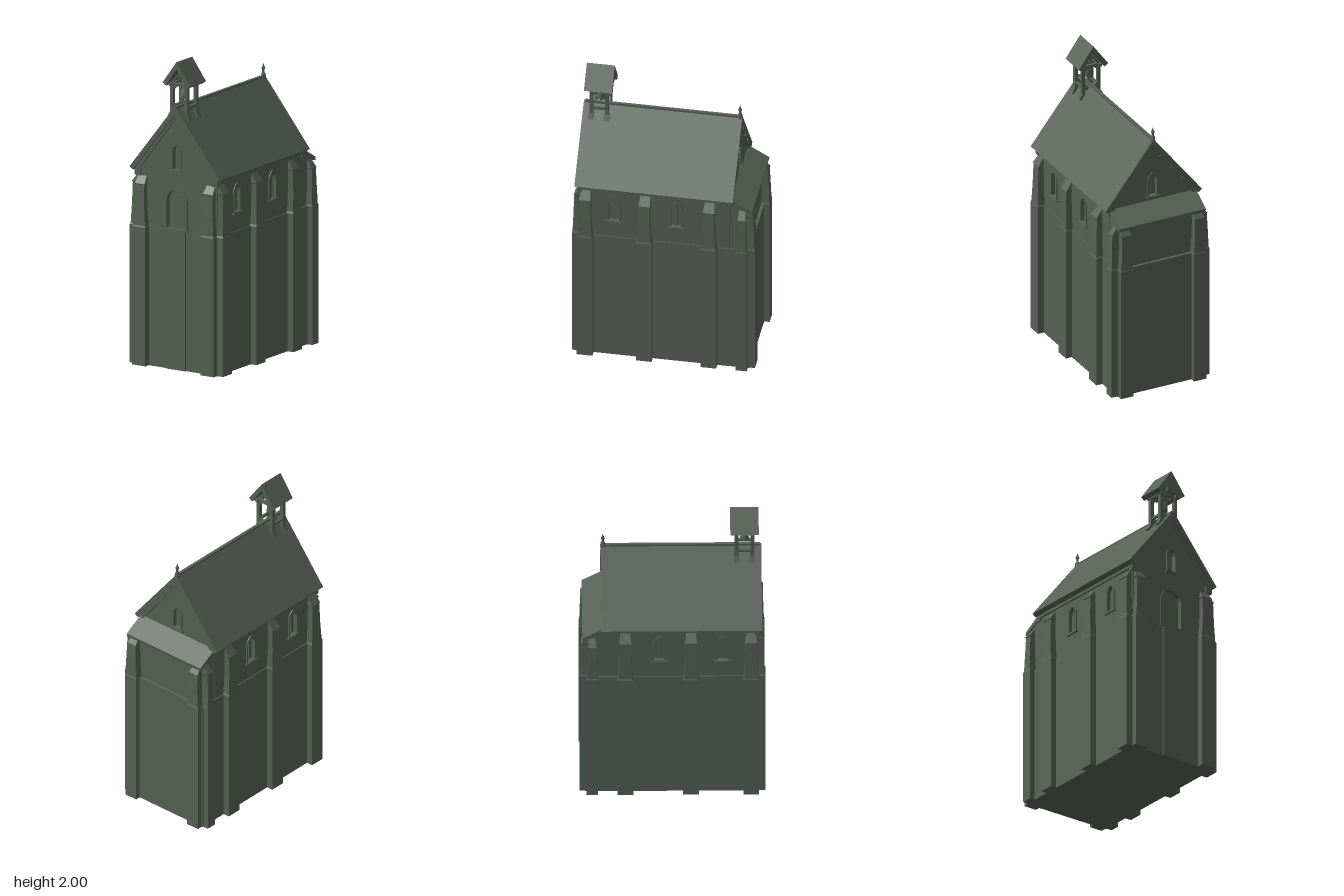
import * as THREE from 'three';

const stone = new THREE.MeshStandardMaterial({ color: 0x576056 });
stone.name = 'mossy grey stone';

function add(parent, name, geo, x = 0, y = 0, z = 0) {
  const m = new THREE.Mesh(geo, stone);
  m.name = name;
  m.position.set(x, y, z);
  parent.add(m);
  return m;
}
const box = (w, h, d) => new THREE.BoxGeometry(w, h, d);
const poly = pts => new THREE.Shape(pts.map(p => new THREE.Vector2(...p)));
const extrude = (shape, depth) =>
  new THREE.ExtrudeGeometry(shape, { depth, bevelEnabled: false, curveSegments: 8 });

// Pointed or round-headed opening
function arch(cx, y0, y1, hw, round = false, C = THREE.Shape) {
  const s = new C(), spring = y1 - hw * (round ? 1 : 1.6);
  s.moveTo(cx - hw, y0);
  s.lineTo(cx + hw, y0);
  s.lineTo(cx + hw, spring);
  if (round) s.absarc(cx, spring, hw, 0, Math.PI, false);
  else {
    s.quadraticCurveTo(cx + hw, y1 - hw * 0.6, cx, y1);
    s.quadraticCurveTo(cx - hw, y1 - hw * 0.6, cx - hw, spring);
  }
  s.lineTo(cx - hw, y0);
  return s;
}

// Raised surround with a sill
function surround(parent, name, cx, y0, y1, hw, z, round) {
  const s = arch(cx, y0 - 0.008, y1 + 0.014, hw + 0.011, round);
  s.holes.push(arch(cx, y0, y1, hw, round, THREE.Path));
  add(parent, name + 'Frame', extrude(s, 0.012), 0, 0, z);
  add(parent, name + 'Sill', box(hw * 2 + 0.04, 0.012, 0.022), cx, y0 - 0.008, z + 0.008);
}

// Gabled roof made of two joined slabs
function chevron(w, top, eave, t, depth) {
  return extrude(poly([[-w, eave], [-w + 0.025, eave - 0.018], [0, top - t],
    [w - 0.025, eave - 0.018], [w, eave], [0, top]]), depth);
}

// Rectangular loft: sections are [y, half width, depth], facing +z
function loft(sections) {
  const pos = [];
  const ring = ([y, w, d]) => [[-w, y, -0.04], [-w, y, d], [w, y, d], [w, y, -0.04]];
  const quad = (a, b, c, d) => pos.push(...a, ...b, ...c, ...a, ...c, ...d);
  for (let i = 0; i < sections.length - 1; i++) {
    const a = ring(sections[i]), b = ring(sections[i + 1]);
    for (let k = 0; k < 4; k++) {
      const n = (k + 1) % 4;
      quad(a[k], a[n], b[n], b[k]);
    }
  }
  const lo = ring(sections[0]), hi = ring(sections[sections.length - 1]);
  quad(lo[3], lo[2], lo[1], lo[0]);
  quad(hi[0], hi[1], hi[2], hi[3]);
  const g = new THREE.BufferGeometry();
  g.setAttribute('position', new THREE.Float32BufferAttribute(pos, 3));
  g.computeVertexNormals();
  return g;
}

function buildWalls(root) {
  const walls = new THREE.Group();
  walls.name = 'walls';
  root.add(walls);
  add(walls, 'foundation', box(0.624, 0.9, 1.1), 0, 0.45, 0);
  add(walls, 'doorPlinth', box(0.145, 0.9, 0.03), 0, 0.45, 0.545);

  // Inner core, seen at the bottom of the window recesses
  add(walls, 'core', extrude(poly([[-0.285, 0.9], [0.285, 0.9], [0.285, 1.27],
    [0, 1.665], [-0.285, 1.27]]), 0.93), 0, 0, -0.41);

  // Front and back faces with openings
  const gable = y0 => poly([[-0.305, y0], [0.305, y0], [0.305, 1.265], [0, 1.67], [-0.305, 1.265]]);
  const front = gable(0.9);
  front.holes.push(arch(0, 0.915, 1.165, 0.073, true, THREE.Path),
    arch(0, 1.3, 1.455, 0.028, false, THREE.Path));
  add(walls, 'frontWall', extrude(front, 0.025), 0, 0, 0.52);
  surround(walls, 'door', 0, 0.915, 1.165, 0.073, 0.54, true);
  add(walls, 'doorLeaf', extrude(arch(0, 0.915, 1.135, 0.062, true), 0.008), 0, 0, 0.52);
  surround(walls, 'frontWindow', 0, 1.3, 1.455, 0.028, 0.54);

  const rear = new THREE.Group();
  rear.name = 'rearGable';
  rear.rotation.y = Math.PI;
  walls.add(rear);
  const back = gable(1.1);
  back.holes.push(arch(0, 1.31, 1.46, 0.028, false, THREE.Path));
  add(rear, 'backWall', extrude(back, 0.025), 0, 0, 0.405);
  surround(rear, 'backWindow', 0, 1.31, 1.46, 0.028, 0.425);

  // Side walls, mirrored, each facing local +z
  for (const s of [1, -1]) {
    const side = new THREE.Group();
    side.name = s > 0 ? 'leftWall' : 'rightWall';
    side.rotation.y = s * Math.PI / 2;
    walls.add(side);
    const shape = poly([[-0.53, 0.9], [0.53, 0.9], [0.53, 1.27], [-0.53, 1.27]].map(
      ([u, y]) => [u === 0.53 * s ? 0.42 * s : u, y]));
    for (const z of [0.32, -0.08]) {
      const u = -z * s;
      shape.holes.push(arch(u, 1.025, 1.2, 0.033, false, THREE.Path));
      surround(side, 'sideWindow', u, 1.025, 1.2, 0.033, 0.3);
      add(side, 'mullion', box(0.008, 0.16, 0.01), u, 1.105, 0.289);
    }
    add(side, 'sidePanel', extrude(shape, 0.025), 0, 0, 0.28);
    add(side, 'eavesCourse', box(0.97, 0.02, 0.02), -0.05 * s, 1.255, 0.307);
  }

  // Low rear bay under a lean-to roof
  const bay = extrude(poly([[0.4, 0.9], [0.53, 0.9], [0.53, 1.19], [0.4, 1.27]]), 0.604);
  add(walls, 'rearBay', bay.rotateY(Math.PI / 2), -0.302, 0, 0);
  const lean = extrude(poly([[0.4, 1.275], [0.43, 1.278], [0.567, 1.2], [0.562, 1.178], [0.4, 1.255]]), 0.62);
  add(walls, 'leanToRoof', lean.rotateY(Math.PI / 2), -0.31, 0, 0);
}

function buildButtresses(root) {
  const geo = (k, top) => loft([[0, 0.05, 0.05], [0.9, 0.05, 0.05], [0.91, 0.045, 0.046],
    [1.04, 0.036, 0.042], [top - 0.06, 0.034, 0.037], [top - 0.055, 0.038, 0.041],
    [top, 0.03, 0]].map(([y, w, d]) => [y, w * k, d]));
  const place = (name, x, z, turn, k = 1, top = 1.235) => {
    add(root, name, geo(k, top), x, 0, z).rotation.y = turn;
  };
  for (const s of [1, -1]) {
    for (const z of [0.5, 0.12, -0.295]) place('sideButtress', 0.305 * s, z, s * Math.PI / 2);
    place('rearSideButtress', 0.3 * s, -0.505, s * Math.PI / 2, 0.7, 1.2);
    place('frontButtress', 0.26 * s, 0.54, 0);
    place('backButtress', 0.26 * s, -0.535, Math.PI, 0.9, 1.2);
  }
}

function buildRoof(root) {
  const slope = Math.atan2(0.435, 0.345);
  add(root, 'mainRoof', chevron(0.345, 1.715, 1.28, 0.052, 1.018), 0, 0, -0.45);
  add(root, 'ridgeCap', box(0.02, 0.014, 1.0), 0, 1.709, 0.06);
  for (const z of [0.548, -0.437]) {
    // Bargeboards, eave corbels and small pegs under each verge
    add(root, 'bargeboard', chevron(0.31, 1.675, 1.283, 0.035, 0.014), 0, 0, z - 0.007);
    for (const s of [1, -1]) {
      add(root, 'eaveCorbel', box(0.045, 0.045, 0.035), 0.293 * s, 1.25, z - Math.sign(z) * 0.01);
      for (const t of [0.2, 0.45, 0.7]) {
        add(root, 'vergePeg', box(0.032, 0.022, 0.02), 0.3 * t * s, 1.652 - 0.385 * t, z)
          .rotation.z = -s * slope;
      }
    }
  }
  // Rear finial
  const profile = [[0.018, 1.69], [0.015, 1.725], [0.007, 1.735], [0.007, 1.75],
    [0.013, 1.76], [0.007, 1.775], [0, 1.795]].map(p => new THREE.Vector2(...p));
  add(root, 'finial', new THREE.LatheGeometry(profile, 8), 0, 0, -0.435);
}

function buildBellTurret(root) {
  const t = new THREE.Group();
  t.name = 'bellTurret';
  t.position.z = 0.46;
  root.add(t);
  add(t, 'turretRoof', chevron(0.105, 2.0, 1.855, 0.045, 0.18), 0, 0, -0.09);
  for (const z of [0.05, -0.05]) {
    add(t, 'tieBeam', box(0.15, 0.018, 0.02), 0, 1.845, z);
    add(t, 'sillBeam', box(0.13, 0.018, 0.02), 0, 1.69, z);
    add(t, 'kingPost', box(0.014, 0.08, 0.014), 0, 1.915, z);
    for (const s of [1, -1]) {
      add(t, 'post', box(0.022, 0.24, 0.024), 0.055 * s, 1.73, z);
      add(t, 'postFoot', box(0.03, 0.05, 0.034), 0.062 * s, 1.64, z).rotation.z = 0.5 * s;
      add(t, 'upperBrace', box(0.012, 0.055, 0.014), 0.038 * s, 1.825, z).rotation.z = 0.75 * s;
      add(t, 'lowerBrace', box(0.012, 0.055, 0.014), 0.038 * s, 1.71, z).rotation.z = -0.75 * s;
      add(t, 'gableStrut', box(0.012, 0.08, 0.014), 0.035 * s, 1.88, z).rotation.z = 0.7 * s;
    }
  }
  for (const s of [1, -1]) {
    add(t, 'topPlate', box(0.022, 0.02, 0.15), 0.058 * s, 1.845, 0);
    add(t, 'sidePlate', box(0.016, 0.016, 0.1), 0.055 * s, 1.7, 0);
  }
  add(t, 'bellBeam', box(0.12, 0.014, 0.014), 0, 1.838, 0);
  const bell = [[0, 1.76], [0.026, 1.755], [0.031, 1.757], [0.022, 1.785], [0.017, 1.81],
    [0.008, 1.822], [0.005, 1.84]].map(p => new THREE.Vector2(...p));
  add(t, 'bell', new THREE.LatheGeometry(bell, 12));
  add(t, 'clapper', new THREE.SphereGeometry(0.009, 8, 6), 0, 1.75, 0);
}

export function createModel() {
  const root = new THREE.Group();
  root.name = 'chapel';
  buildWalls(root);
  buildButtresses(root);
  buildRoof(root);
  buildBellTurret(root);
  return root;
}
